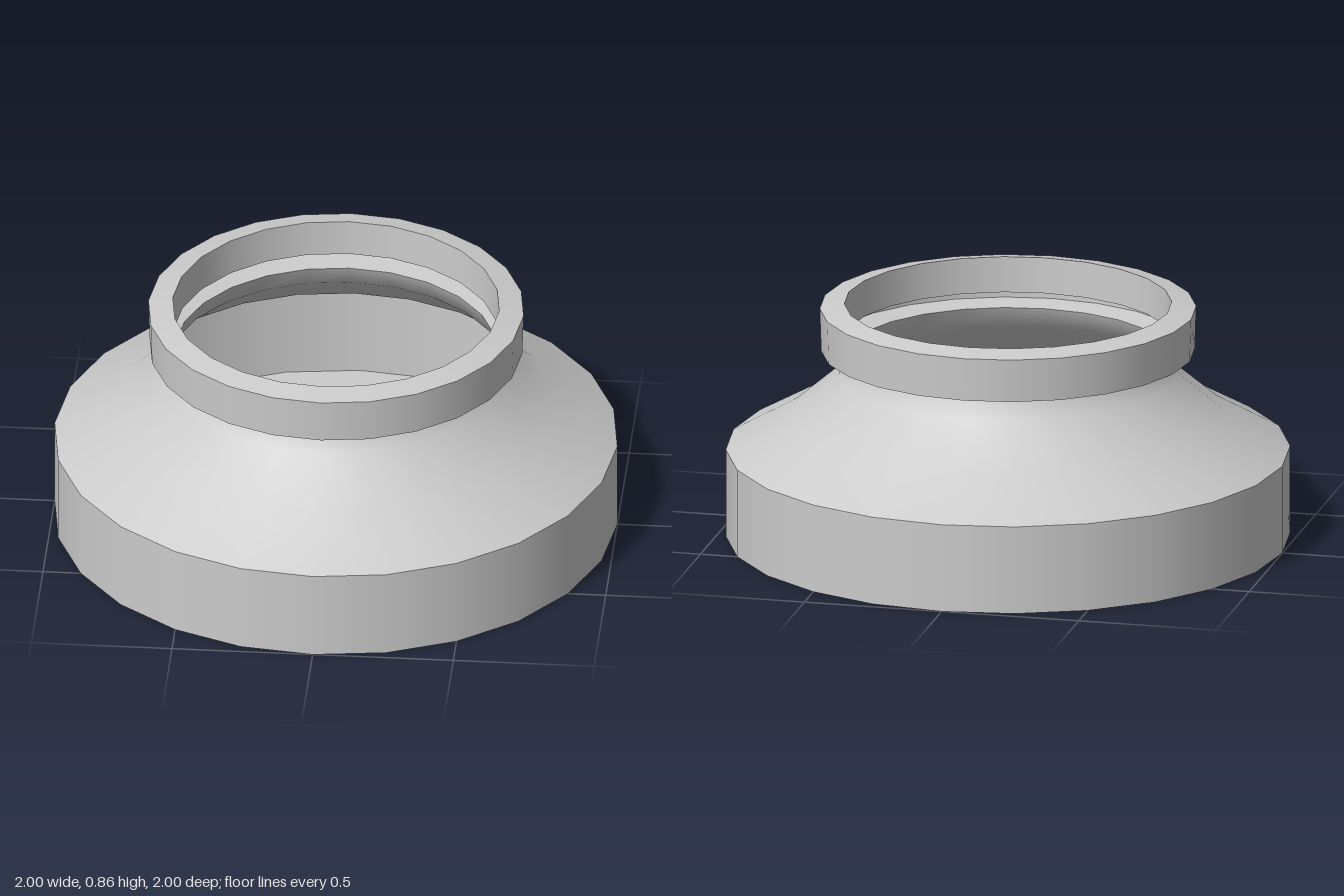
import * as THREE from 'three';

const SIDES = 24;

export function createModel() {
  const model = new THREE.Group();
  const material = new THREE.MeshStandardMaterial({ color: 0xcccccc, side: THREE.DoubleSide });

  // Each band is smooth around the axis; edges between bands stay sharp
  const band = (name, profile, parent) => {
    const points = profile.map(([r, y]) => new THREE.Vector2(r, y));
    const mesh = new THREE.Mesh(new THREE.LatheGeometry(points, SIDES), material);
    mesh.name = name;
    parent.add(mesh);
  };

  // Hollow body: closed floor, straight wall, curved shoulder rising to the neck
  const body = new THREE.Group();
  body.name = 'body';
  band('floor', [[0, 0], [1, 0]], body);
  band('wall', [[1, 0], [1, 0.32]], body);
  band('shoulder', [[1, 0.32], [0.77, 0.45], [0.6, 0.595], [0.57, 0.67]], body);

  // Folded rim: flange, outer band, sloped top and a lip hanging inside
  const rim = new THREE.Group();
  rim.name = 'rim';
  band('rimFlange', [[0.57, 0.67], [0.662, 0.682]], rim);
  band('rimBand', [[0.662, 0.682], [0.667, 0.838]], rim);
  band('rimTop', [[0.667, 0.838], [0.58, 0.855]], rim);
  band('rimLip', [[0.58, 0.855], [0.577, 0.725]], rim);

  model.add(body, rim);
  return model;
}
